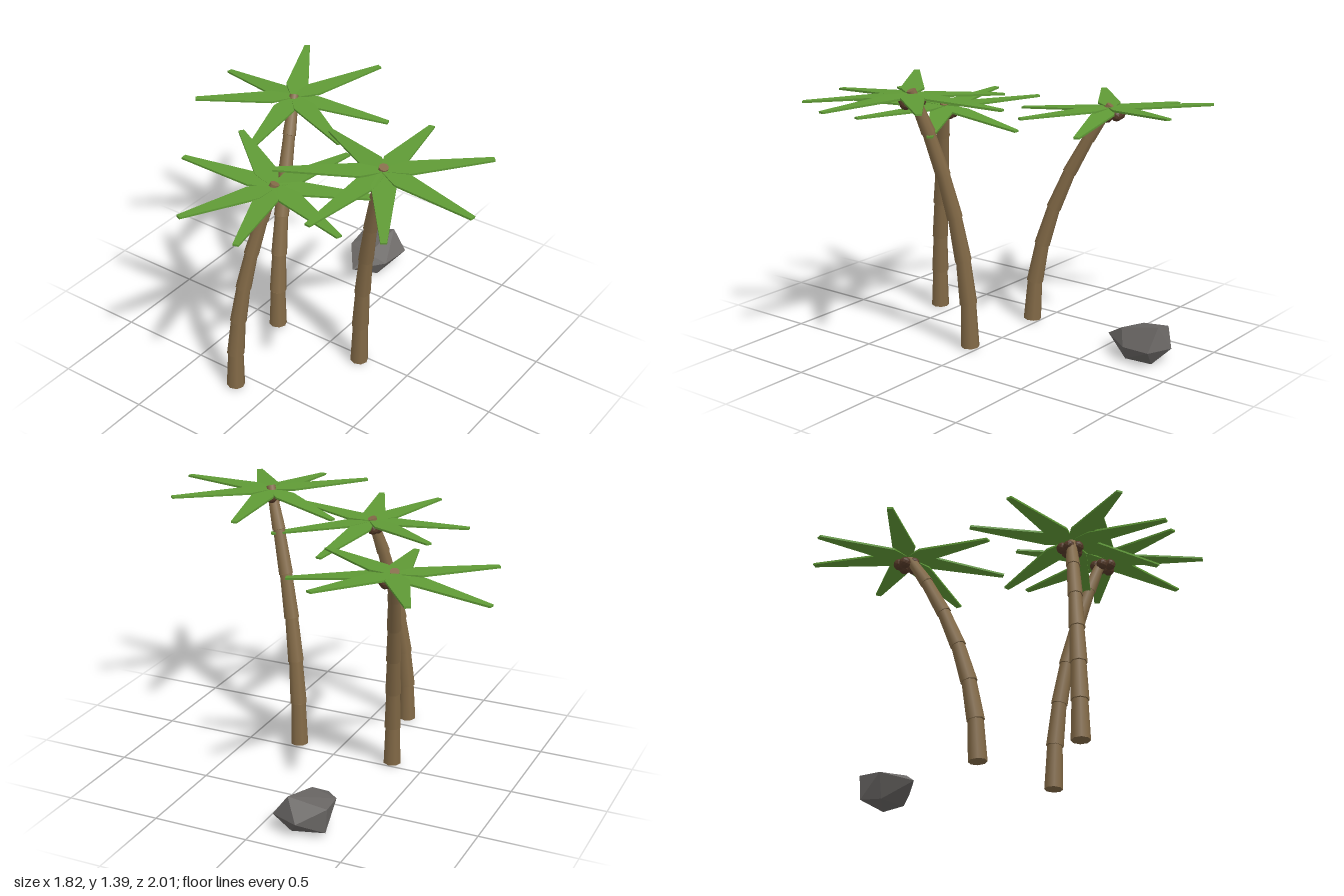
import * as THREE from 'three';
import { ConvexGeometry } from 'three/addons/geometries/ConvexGeometry.js';

const V = (x, y, z) => new THREE.Vector3(x, y, z);
const paint = (color, flatShading = true) => new THREE.MeshStandardMaterial({ color, flatShading });
const bark = paint(0x836a47, false);
const leaf = paint(0x609b36);
const nutShell = paint(0x553a28);
const stone = paint(0x696664);

// Each palm: foot and head of the trunk, height of the crown, frond tips
const PALMS = [
  {
    foot: V(-0.585, 0.01, -0.19), head: V(-0.41, 1.215, -0.035), crownY: 1.2,
    tips: [[-0.47, 1.21, -0.56], [-0.115, 1.22, -0.475], [0.115, 1.145, 0.03], [-0.13, 1.15, 0.42],
      [-0.58, 1.195, 0.465], [-0.91, 1.195, 0.12], [-0.9, 1.21, -0.23]],
  },
  {
    foot: V(-0.04, 0.01, 0.22), head: V(-0.212, 1.385, 0.46), crownY: 1.365,
    tips: [[0.31, 1.34, 0.4], [0.165, 1.375, 0.84], [-0.3, 1.352, 1.0], [-0.66, 1.32, 0.76],
      [-0.74, 1.32, 0.4], [-0.53, 1.385, 0.045], [0.01, 1.32, 0.0]],
  },
  {
    foot: V(-0.04, 0.01, -0.325), head: V(0.345, 1.225, -0.48), crownY: 1.212,
    tips: [[0.44, 1.165, -1.0], [0.025, 1.21, -0.895], [-0.16, 1.165, -0.39], [0.1, 1.2, -0.01],
      [0.48, 1.16, 0.03], [0.83, 1.25, -0.26], [0.81, 1.245, -0.735]],
  },
];

function add(parent, name, geometry, material) {
  const mesh = new THREE.Mesh(geometry, material);
  mesh.name = name;
  parent.add(mesh);
  return mesh;
}

// Bent trunk of tapered rings, each foot overhanging the ring below
function makeTrunk(foot, head) {
  const trunk = new THREE.Group();
  trunk.name = 'trunk';
  const bend = V(foot.x, (foot.y + head.y) / 2, foot.z);
  const rings = 6;
  const points = new THREE.QuadraticBezierCurve3(foot, bend, head).getSpacedPoints(rings);
  const radius = (i) => THREE.MathUtils.lerp(0.048, 0.034, i / rings);
  for (let i = 0; i < rings; i++) {
    const axis = points[i + 1].clone().sub(points[i]);
    const length = axis.length();
    const top = i === rings - 1 ? 0.024 : radius(i + 1) * 0.88;
    const ring = add(trunk, 'trunkRing', new THREE.CylinderGeometry(top, radius(i), length, 8), bark);
    ring.position.copy(points[i]).addScaledVector(axis, 0.5);
    ring.quaternion.setFromUnitVectors(V(0, 1, 0), axis.normalize());
  }
  return trunk;
}

// Flat tapered leaf slab running from the crown centre to its tip
function makeFrond(centre, tip) {
  const along = tip.clone().sub(centre);
  const length = along.length();
  const shape = new THREE.Shape([
    [0.005, -0.02], [0.12, -0.06], [length, -0.015], [length, 0.015], [0.12, 0.06], [0.005, 0.02],
  ].map(([x, y]) => new THREE.Vector2(x, y)));
  const geometry = new THREE.ExtrudeGeometry(shape, { depth: 0.01, bevelEnabled: false });
  geometry.translate(0, 0, -0.005);
  along.normalize();
  const side = V(0, 1, 0).cross(along).normalize();
  const up = along.clone().cross(side);
  geometry.applyMatrix4(new THREE.Matrix4().makeBasis(along, side, up).setPosition(centre));
  return geometry;
}

function makePalm({ foot, head, crownY, tips }) {
  const palm = new THREE.Group();
  palm.name = 'palm';
  palm.add(makeTrunk(foot, head));
  const centre = V(head.x, crownY, head.z);

  const crown = new THREE.Group();
  crown.name = 'crown';
  palm.add(crown);
  for (const tip of tips) add(crown, 'frond', makeFrond(centre, V(...tip)), leaf);

  // Coconuts clustered under the crown
  for (let i = 0; i < 5; i++) {
    const a = (i / 5) * Math.PI * 2 + 0.4;
    const nut = add(palm, 'coconut', new THREE.IcosahedronGeometry(0.031, 1), nutShell);
    nut.position.set(
      centre.x + 0.012 + 0.042 * Math.cos(a),
      crownY - 0.032 - 0.008 * (i % 2),
      centre.z + 0.008 + 0.042 * Math.sin(a),
    );
  }
  return palm;
}

export function createModel() {
  const model = new THREE.Group();
  model.name = 'palmGrove';
  for (const palm of PALMS) model.add(makePalm(palm));

  // Faceted boulder
  const corners = [
    [0.53, 0.085, -0.22], [0.635, 0.15, -0.18], [0.675, 0.14, -0.33], [0.815, 0.15, -0.345],
    [0.865, 0.205, -0.16], [0.91, 0.085, -0.22], [0.86, 0.09, -0.075], [0.695, 0.08, -0.1],
    [0.83, 0, -0.16], [0.68, 0, -0.15], [0.815, 0.02, -0.335], [0.7, 0.01, -0.29],
  ];
  add(model, 'rock', new ConvexGeometry(corners.map((c) => V(...c))), stone);
  return model;
}
